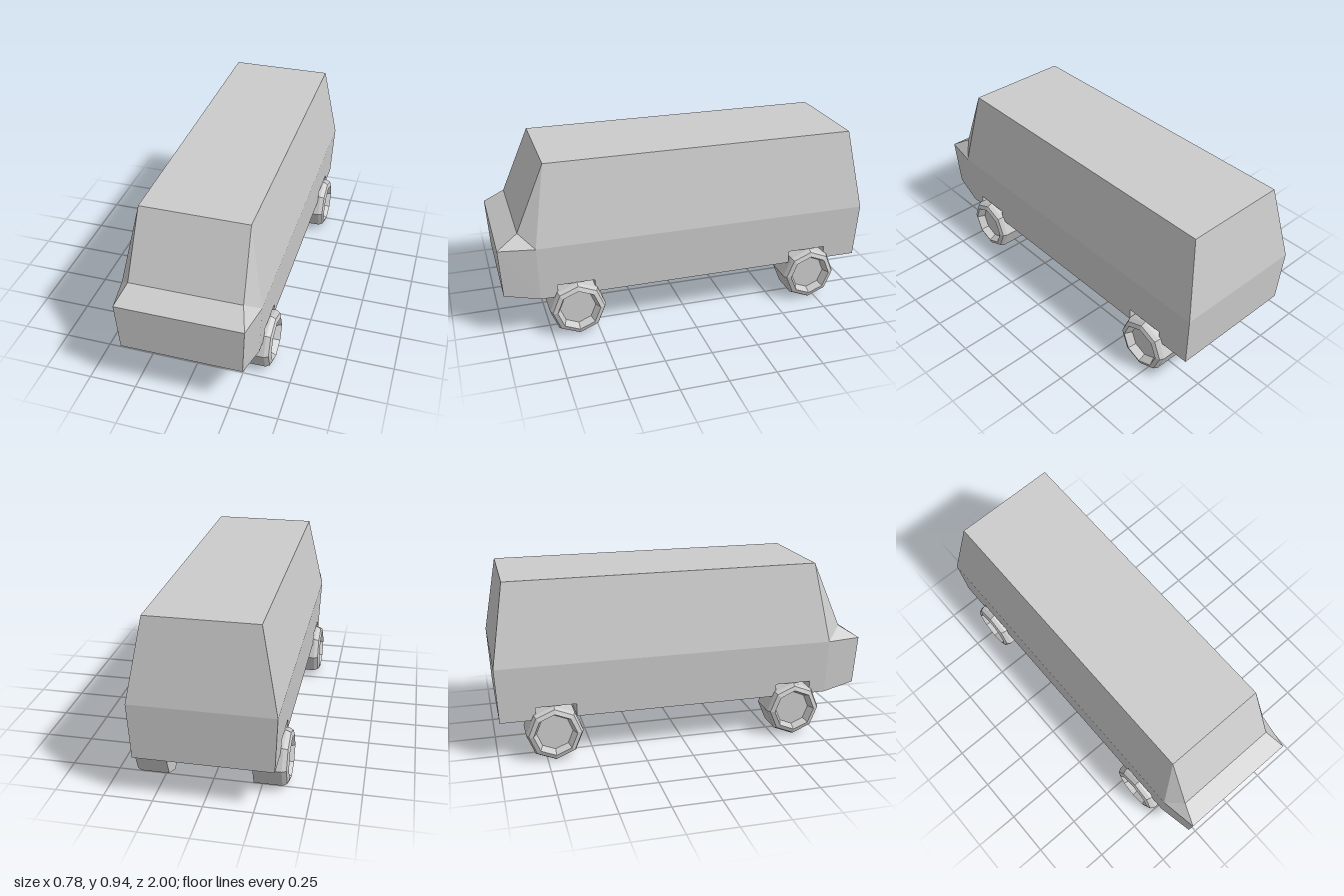
import * as THREE from 'three';

const material = new THREE.MeshStandardMaterial({ color: 0xcccccc, flatShading: true });

// Side outline as [z, y, half width], running forward along the floor and back over the roof
const FLOOR = 0.225, ARCH = 0.295, BELT = 0.52, ROOF = 0.945;
const outline = [
  [-0.985, FLOOR, 0.347],
  [-0.80, FLOOR, 0.347], [-0.80, ARCH, 0.35], [-0.588, ARCH, 0.35], [-0.588, FLOOR, 0.347], // rear arch
  [0.513, FLOOR, 0.347], [0.513, ARCH, 0.35], [0.71, ARCH, 0.35], [0.71, FLOOR, 0.347],     // front arch
  [0.80, FLOOR, 0.347], [0.985, 0.255, 0.315],                                              // chin
  [1.0, BELT, 0.328], [0.89, 0.59, 0.291],                                                  // nose, windscreen base
  [0.74, ROOF, 0.278], [-0.93, ROOF, 0.278], [-1.0, BELT, 0.36],                            // roof, tail
];
const beltCorner = [0.81, BELT, 0.36];

function createBody() {
  const positions = [];
  const corner = ([z, y, w], side) => positions.push(side * w + (y === ROOF ? 0.006 : 0), y, z);

  // Panels spanning the width: floor, arches, nose, windscreen, roof and tail
  outline.forEach((a, i) => {
    const b = outline[(i + 1) % outline.length];
    corner(a, 1); corner(b, 1); corner(b, -1);
    corner(a, 1); corner(b, -1); corner(a, -1);
  });

  // Side panels, mirrored left and right
  const o = outline;
  const panels = [
    [...o.slice(0, 10), beltCorner, o[15]], // lower side with arches
    [o[9], o[10], o[11], beltCorner],       // nose side
    [beltCorner, o[11], o[12]],             // bonnet side
    [beltCorner, o[12], o[13]],             // windscreen pillar
    [o[15], beltCorner, o[13], o[14]],      // upper side
  ];
  for (const panel of panels) {
    const flat = panel.map(([z, y]) => new THREE.Vector2(z, y));
    for (const [a, b, c] of THREE.ShapeUtils.triangulateShape(flat, [])) {
      [a, b, c].forEach((k) => corner(panel[k], -1));
      [a, c, b].forEach((k) => corner(panel[k], 1));
    }
  }

  const geometry = new THREE.BufferGeometry();
  geometry.setAttribute('position', new THREE.Float32BufferAttribute(positions, 3));
  geometry.computeVertexNormals();
  const body = new THREE.Mesh(geometry, material);
  body.name = 'body';
  return body;
}

// Eight-sided wheel with bevelled tyre and recessed hub; profile is [radius, distance from centre line]
function createWheel(name, side, z) {
  const profile = [
    [0, 0.216], [0.149, 0.216], [0.149, 0.36], [0.138, 0.382],
    [0.114, 0.391], [0.095, 0.35], [0, 0.35],
  ].map(([r, d]) => new THREE.Vector2(r, d));
  const geometry = new THREE.LatheGeometry(profile, 8);
  geometry.rotateZ(-side * Math.PI / 2);
  const wheel = new THREE.Mesh(geometry, material);
  wheel.name = name;
  wheel.position.set(0, 0.149, z);
  return wheel;
}

export function createModel() {
  const van = new THREE.Group();
  van.name = 'van';
  van.add(createBody());
  for (const [label, side] of [['Left', 1], ['Right', -1]]) {
    van.add(createWheel('front' + label + 'Wheel', side, 0.61));
    van.add(createWheel('rear' + label + 'Wheel', side, -0.707));
  }
  return van;
}
